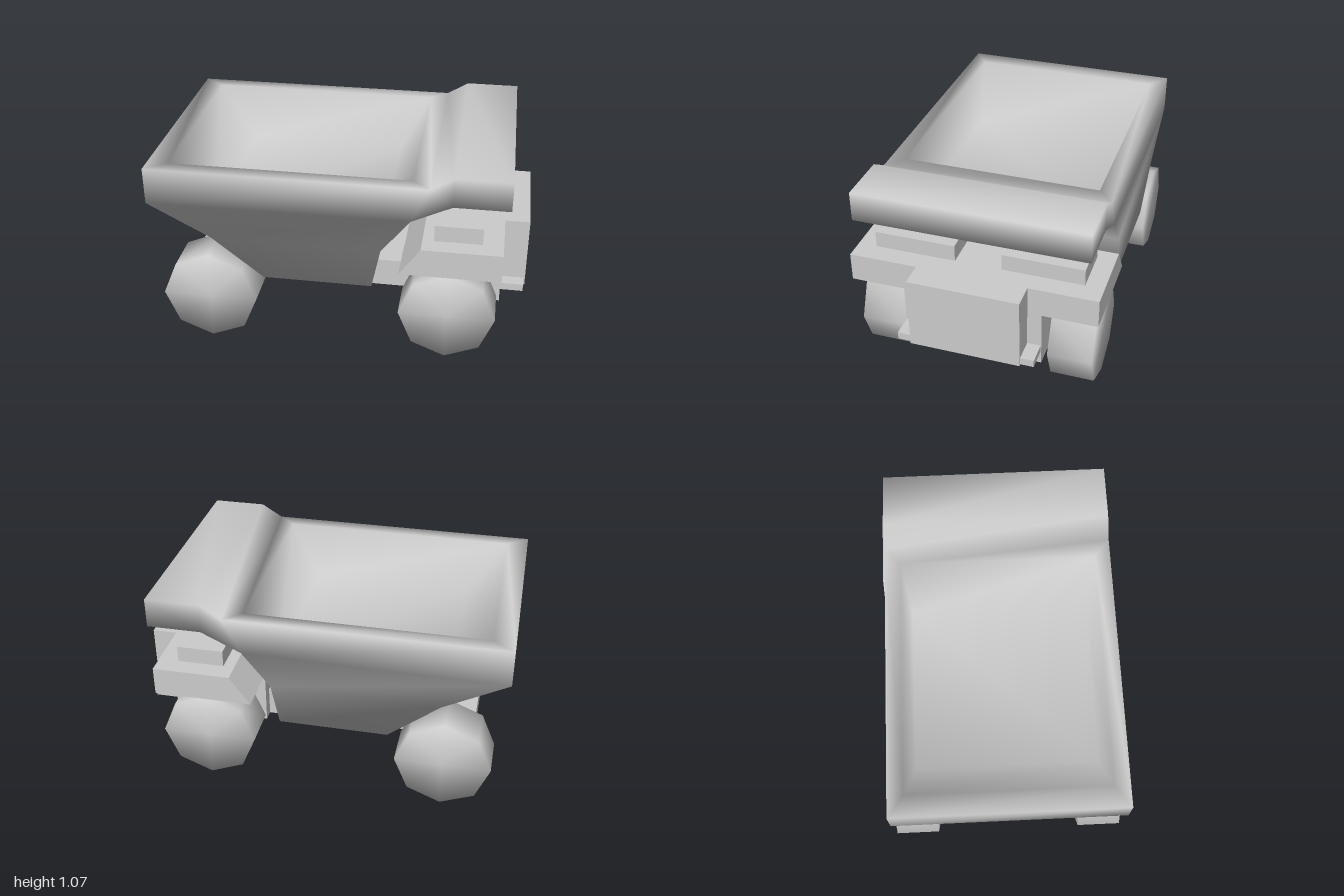
import * as THREE from 'three';
import { mergeVertices } from 'three/addons/utils/BufferGeometryUtils.js';

const material = new THREE.MeshStandardMaterial({ color: 0xcccccc });
const openMaterial = new THREE.MeshStandardMaterial({ color: 0xcccccc, side: THREE.DoubleSide });

// Welds the corners so that shading runs softly across the edges
function smooth(geometry) {
  geometry.deleteAttribute('uv');
  geometry.deleteAttribute('normal');
  const welded = mergeVertices(geometry, 1e-4);
  welded.computeVertexNormals();
  return welded;
}

function addPart(parent, name, geometry, mat = material) {
  const mesh = new THREE.Mesh(geometry, mat);
  mesh.name = name;
  parent.add(mesh);
  return mesh;
}

function box(x0, x1, y0, y1, z0, z1) {
  return new THREE.BoxGeometry(x1 - x0, y1 - y0, z1 - z0)
    .translate((x0 + x1) / 2, (y0 + y1) / 2, (z0 + z1) / 2);
}

// Box without its underside
function hood(...bounds) {
  const geometry = box(...bounds);
  geometry.setIndex([...geometry.index.array].filter((_, i) => i < 18 || i >= 24));
  return geometry;
}

// Side profile in x and y, extruded evenly to both sides
function slab(points, halfWidth) {
  const shape = new THREE.Shape(points.map(([x, y]) => new THREE.Vector2(x, y)));
  return new THREE.ExtrudeGeometry(shape, { depth: halfWidth * 2, bevelEnabled: false })
    .translate(0, 0, -halfWidth);
}

// Dump bed: straight sided body with cab canopy and a sunken hopper
function bedGeometry() {
  const w = 0.615;
  const profile = [
    [0.485, 1], [-1, 1], [-1, 0.8], [-0.66, 0.62], [-0.385, 0.4], [0.195, 0.4],
    [0.24, 0.62], [0.39, 0.81], [0.6, 0.91], [0.89, 0.91], [0.89, 1.07], [0.6, 1.07],
  ];
  const positions = [];
  const quad = (a, b, c, d) => positions.push(...a, ...b, ...c, ...a, ...c, ...d);
  const at = (i, z) => [...profile[i % profile.length], z];

  // Outer shell, leaving out the top edge where the hopper opens
  for (let i = 1; i < profile.length; i++) {
    quad(at(i, w), at(i, -w), at(i + 1, -w), at(i + 1, w));
  }

  // Flat side walls in bands, with the canopy ends last
  const bands = [[0, 1, 2, 7], [7, 2, 3, 6], [6, 3, 4, 5], [0, 7, 8, 11], [11, 8, 9, 10]];
  for (const band of bands) {
    quad(...band.map((i) => at(i, w)));
    quad(...band.map((i) => at(i, -w)).reverse());
  }

  // Rim, sloping hopper walls and floor
  const ring = (x0, x1, y, z) => [[x0, y, z], [x1, y, z], [x1, y, -z], [x0, y, -z]];
  const rings = [
    ring(-1, 0.485, 1, w),
    ring(-0.885, 0.39, 1, 0.53),
    ring(-0.68, 0.23, 0.69, 0.49),
  ];
  for (let r = 0; r < 2; r++) {
    for (let i = 0; i < 4; i++) {
      const j = (i + 1) % 4;
      quad(rings[r][i], rings[r][j], rings[r + 1][j], rings[r + 1][i]);
    }
  }
  quad(...rings[2]);

  const geometry = new THREE.BufferGeometry();
  geometry.setAttribute('position', new THREE.Float32BufferAttribute(positions, 3));
  return smooth(geometry);
}

export function createModel() {
  const truck = new THREE.Group();
  truck.name = 'dumpTruck';

  addPart(truck, 'dumpBed', bedGeometry());
  addPart(truck, 'chassisBeam', box(-0.825, 0.345, 0.21, 0.37, -0.305, 0.305));

  // Engine housing, recessed below, with a wide fender deck over the front wheels
  addPart(truck, 'engineHousing', hood(0.34, 0.868, 0.212, 0.525, -0.37, 0.37), openMaterial);
  addPart(truck, 'housingRecess', box(0.342, 0.866, 0.37, 0.5, -0.368, 0.368));
  addPart(truck, 'fenderDeck',
    slab([[0.34, 0.52], [0.868, 0.52], [0.868, 0.675], [0.45, 0.675]], 0.66));

  // Hollow grille with a bumper end on each side
  addPart(truck, 'grille', hood(0.865, 1, 0.28, 0.675, -0.295, 0.295), openMaterial);
  for (const [side, s] of [['Left', 1], ['Right', -1]]) {
    const bumper = box(0.86, 0.99, 0.285, 0.325, -0.037, 0.037).translate(0, 0, s * 0.33);
    addPart(truck, 'bumperEnd' + side, bumper);

    // Mirrored cab blocks and wheels
    const cab = box(0.51, 0.76, 0.67, 0.765, -0.2175, 0.2175).translate(0, 0, s * 0.3425);
    addPart(truck, 'cabBlock' + side, cab);
    for (const [end, x] of [['front', 0.595], ['rear', -0.685]]) {
      const wheel = addPart(truck, end + 'Wheel' + side,
        smooth(new THREE.CylinderGeometry(0.256, 0.256, 0.235, 8).rotateX(Math.PI / 2)));
      wheel.position.set(x, 0.258, s * 0.513);
    }
  }
  return truck;
}
